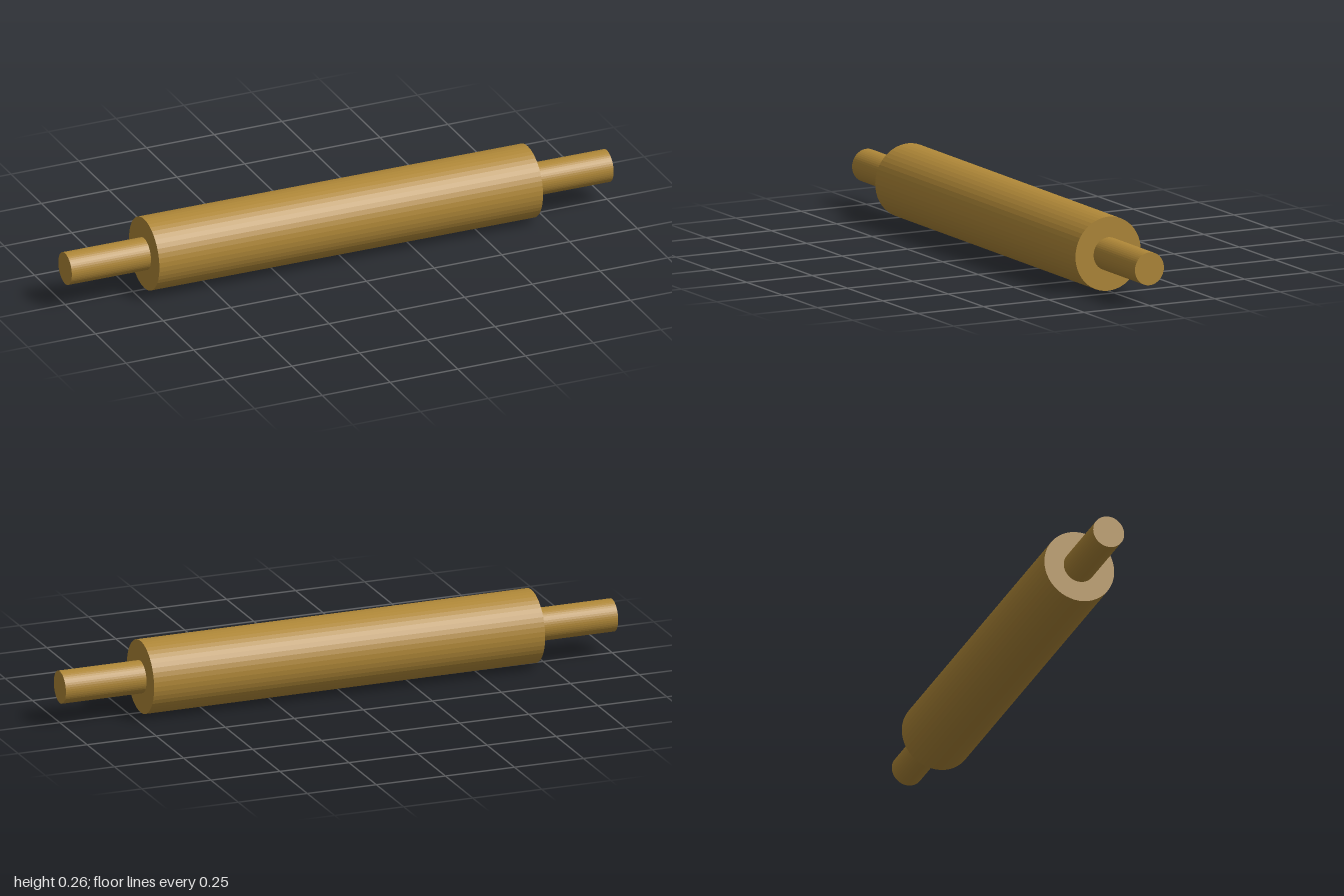
import * as THREE from 'three';

const SIDES = 48;

export function createModel() {
  const model = new THREE.Group();
  model.name = 'rollingPin';
  const wood = new THREE.MeshStandardMaterial({ color: 0xb08838, flatShading: true });

  // A cylinder lying along x, very slightly taller than deep
  const addRod = (name, radius, length, x) => {
    const geometry = new THREE.CylinderGeometry(radius, radius, length, SIDES);
    geometry.rotateZ(Math.PI / 2);
    geometry.scale(1, 1.018, 1);
    const rod = new THREE.Mesh(geometry, wood);
    rod.name = name;
    rod.position.x = x;
    model.add(rod);
  };

  // Thick roller and the two handles set into its ends
  addRod('roller', 0.125, 1.416, 0);
  addRod('leftHandle', 0.0555, 0.312, 0.844);
  addRod('rightHandle', 0.0555, 0.312, -0.844);

  // The pin rests with its left end a touch lower
  model.rotation.z = -0.0042;
  model.position.y = 0.1302;

  const root = new THREE.Group();
  root.add(model);
  return root;
}
